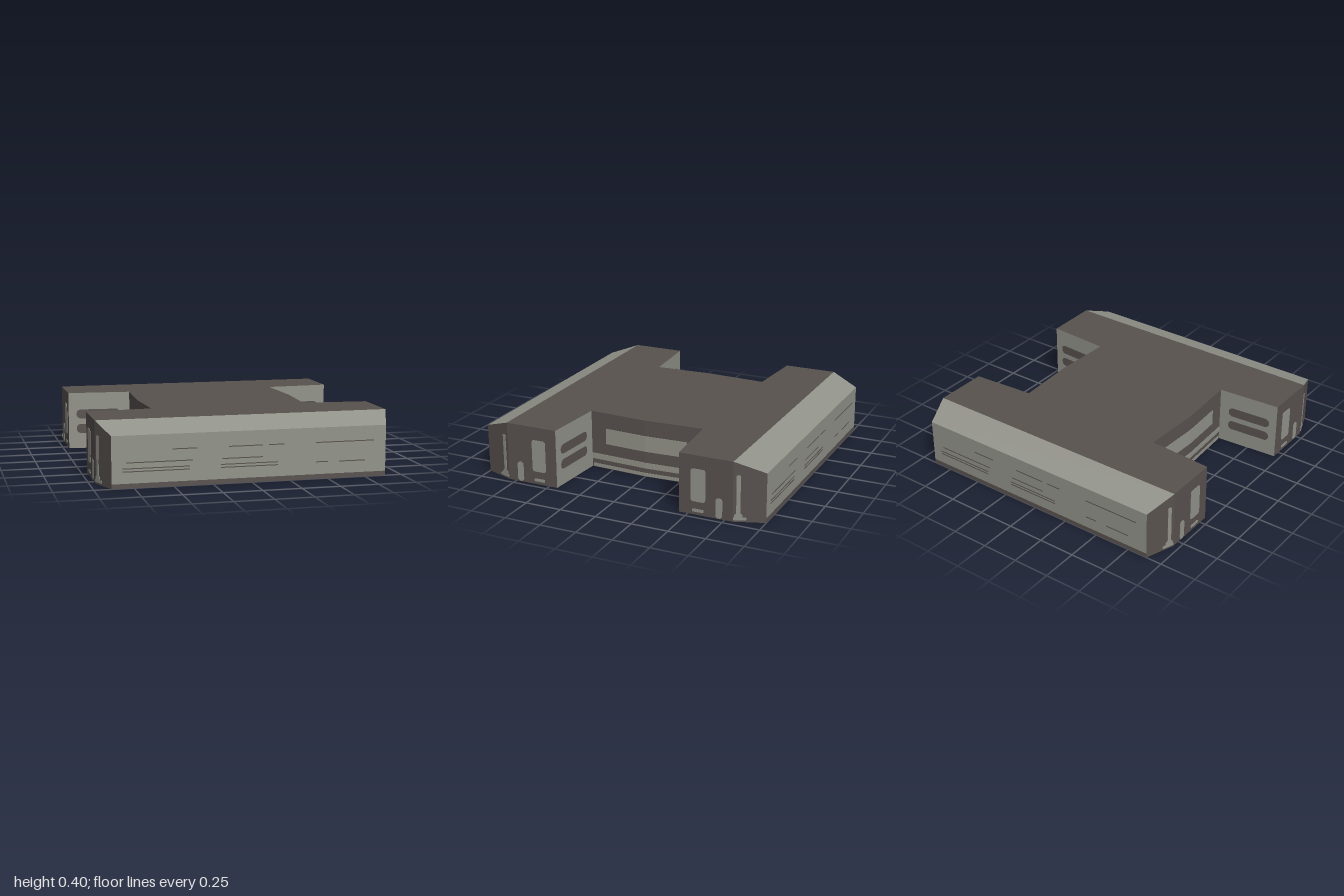
import * as THREE from 'three';

const dark = new THREE.MeshStandardMaterial({ color: 0x59524f });
dark.name = 'darkPlating';
const light = new THREE.MeshStandardMaterial({ color: 0x92938a });
light.name = 'lightPlating';

// Quarter outline as [x, z]: waist, notch corner, arm tip, shoulder, nose
const W = [0.545, 0], N = [0.525, 0.41], E = [0.96, 0.44], S = [0.96, 0.805], A = [0.89, 1];
const HEIGHT = 0.4, NOSE = 0.33, STRIP = 0.03;

export function createModel() {
  const model = new THREE.Group();
  const add = (name, geometry, material) => {
    const mesh = new THREE.Mesh(geometry, material);
    mesh.name = name;
    model.add(mesh);
    return mesh;
  };

  // Flat quad, corners anticlockwise seen from outside
  const quad = (name, material, a, b, c, d) => {
    const g = new THREE.BufferGeometry();
    g.setAttribute('position', new THREE.Float32BufferAttribute([...a, ...b, ...c, ...a, ...c, ...d], 3));
    g.computeVertexNormals();
    return add(name, g, material);
  };
  const wall = (name, material, p, q, y0, yp, yq) =>
    quad(name, material, [p[0], y0, p[1]], [p[0], yp, p[1]], [q[0], yq, q[1]], [q[0], y0, q[1]]);

  // Full outline by mirroring the quarter
  const quarter = [W, N, E, S, A];
  const half = [...quarter, ...quarter.map(([x, z]) => [-x, z]).reverse()];
  const ring = [...half, ...half.slice(1, -1).map(([x, z]) => [x, -z]).reverse()];

  // Side walls
  const topOf = (p) => (Math.abs(p[1]) === 1 ? NOSE : HEIGHT);
  ring.forEach((p, i) => {
    const q = ring[(i + 1) % ring.length];
    const zs = [Math.abs(p[1]), Math.abs(q[1])];
    if (zs[0] === 1 && zs[1] === 1) {
      wall('noseFoot', dark, p, q, 0, STRIP, STRIP);
      wall('nosePlate', light, p, q, STRIP, NOSE, NOSE);
    } else {
      const flank = zs.includes(N[1]) && zs.includes(E[1]);
      wall(flank ? 'notchFlank' : 'sideWall', flank ? light : dark, p, q, 0, topOf(p), topOf(q));
    }
  });

  // Deck and underside
  const face = (points, sign) => {
    const shape = new THREE.Shape(points.map(([x, z]) => new THREE.Vector2(x, -sign * z)));
    return new THREE.ShapeGeometry(shape).rotateX(-sign * Math.PI / 2);
  };
  add('deck', face(ring.filter((p) => Math.abs(p[1]) < 1), 1), dark).position.y = HEIGHT;
  add('underside', face(ring, -1), dark);

  // Sloping plates at front and back
  for (const s of [1, -1]) {
    quad('noseSlope', light,
      [-s * A[0], NOSE, s], [s * A[0], NOSE, s],
      [s * S[0], HEIGHT, s * S[1]], [-s * S[0], HEIGHT, s * S[1]]);
  }

  // Thin plate with rounded corners, lying on the wall from p to q
  const plate = (name, material, p, q, u0, u1, y0, y1, r = 0) => {
    const w = (u1 - u0) / 2, h = (y1 - y0) / 2;
    const shape = new THREE.Shape();
    if (r > 0) {
      shape.absarc(w - r, h - r, r, 0, Math.PI / 2);
      shape.absarc(r - w, h - r, r, Math.PI / 2, Math.PI);
      shape.absarc(r - w, r - h, r, Math.PI, Math.PI * 1.5);
      shape.absarc(w - r, r - h, r, Math.PI * 1.5, Math.PI * 2);
    } else {
      shape.moveTo(-w, -h).lineTo(w, -h).lineTo(w, h).lineTo(-w, h);
    }
    const g = new THREE.ExtrudeGeometry(shape, { depth: 0.006, bevelEnabled: false, curveSegments: 4 });
    g.translate(0, 0, -0.003);
    const dx = q[0] - p[0], dz = q[1] - p[1], len = Math.hypot(dx, dz), u = (u0 + u1) / 2 / len;
    const mesh = add(name, g, material);
    mesh.position.set(p[0] + dx * u, (y0 + y1) / 2, p[1] + dz * u);
    mesh.rotation.y = Math.atan2(-dz, dx);
  };

  // Painted details repeated in all four quarters
  for (const sx of [1, -1]) for (const sz of [1, -1]) {
    const [w, n, e, s, a] = quarter.map(([x, z]) => [sx * x, sz * z]);
    // Waist wall
    plate('waistPanel', light, w, n, 0, 0.3, 0.18, 0.29);
    plate('waistBand', light, w, n, 0, 0.41, 0.06, 0.1);
    plate('waistFoot', light, w, n, 0, 0.4, 0.004, 0.027);
    // Notch flank slots
    plate('flankSlot', dark, n, e, 0.07, 0.38, 0.215, 0.28, 0.03);
    plate('flankSlot', dark, n, e, 0.07, 0.38, 0.11, 0.175, 0.03);
    // Arm end panels
    plate('armWindow', light, e, s, 0.08, 0.18, 0.09, 0.31, 0.018);
    plate('armFoot', light, e, s, 0.09, 0.17, 0.02, 0.04, 0.009);
    plate('armSlot', light, e, s, 0.25, 0.295, 0.004, 0.14, 0.02);
    // Shoulder strip
    plate('shoulderStrip', light, s, a, 0.021, 0.047, 0.03, 0.31, 0.006);
    plate('shoulderBase', light, s, a, 0.008, 0.062, 0.02, 0.055, 0.015);
    plate('shoulderFoot', light, s, a, 0.002, 0.085, 0.012, 0.032, 0.008);
  }

  // Fine seams on the nose plates: x start, x end, height
  const seams = [
    [-0.51, -0.35, 0.235], [-0.15, 0.07, 0.235], [0.11, 0.21, 0.235], [0.42, 0.81, 0.235],
    [-0.8, -0.38, 0.16], [-0.19, 0.07, 0.16],
    [-0.82, -0.4, 0.123], [-0.82, -0.4, 0.104], [-0.2, 0.17, 0.123], [-0.2, 0.17, 0.104],
    [0.42, 0.5, 0.11], [0.58, 0.75, 0.108],
  ];
  for (const s of [1, -1]) for (const [x0, x1, y] of seams) {
    plate('noseSeam', dark, [-s, s * 0.999], [s, s * 0.999], x0 + 1, x1 + 1, y - 0.003, y + 0.003);
  }
  return model;
}
